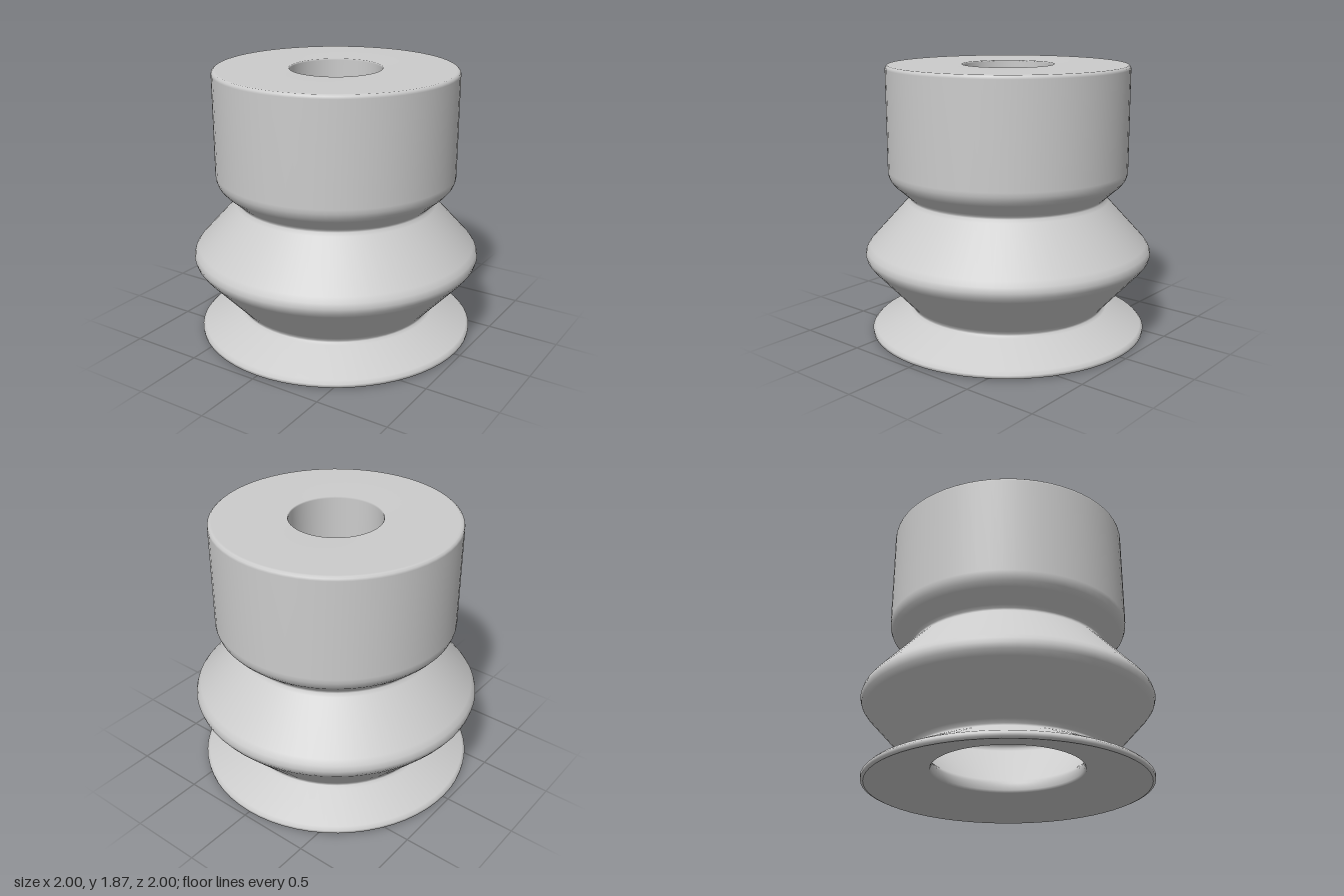
import * as THREE from 'three';

// Closed cross-section [radius, height], running up the outside and down the inside
const outside = [
  [0.945, 0], [0.963, 0.008], [0.965, 0.03], [0.945, 0.05],        // sealing lip
  [0.7, 0.165], [0.682, 0.178], [0.682, 0.192], [0.7, 0.215],      // lower fold
  [0.965, 0.505], [0.99, 0.54], [1, 0.575], [0.99, 0.61], [0.965, 0.645], // bulge
  [0.7, 0.935], [0.682, 0.955], [0.684, 0.97], [0.7, 0.985],       // upper fold
  [0.79, 1.065], [0.815, 1.095], [0.828, 1.13], [0.83, 1.16],      // collar base
  [0.83, 1.845], [0.827, 1.86], [0.815, 1.87], [0.8, 1.87],        // collar top
];
const inside = [
  [0.315, 1.87], [0.31, 1.86], [0.31, 1.24], [0.305, 1.23],        // socket
  [0.2, 1.2], [0.19, 1.19], [0.19, 1.09], [0.2, 1.08],             // ledge and through hole
  [0.49, 1.06], [0.51, 1.04], [0.51, 0.98], [0.53, 0.95],          // chamber ceiling
  [0.87, 0.6], [0.885, 0.575], [0.87, 0.55],                       // inside of bulge
  [0.53, 0.21], [0.51, 0.18], [0.51, 0.13], [0.52, 0.112],         // mouth
  [0.945, 0],                                                      // underside of lip
];

export function createModel() {
  const group = new THREE.Group();
  group.name = 'bellowsSuctionCup';
  const profile = [...outside, ...inside].map(([r, y]) => new THREE.Vector2(r, y));
  const body = new THREE.Mesh(
    new THREE.LatheGeometry(profile, 64),
    new THREE.MeshStandardMaterial({ color: 0xcccccc })
  );
  body.name = 'bellowsBody';
  group.add(body);
  return group;
}
